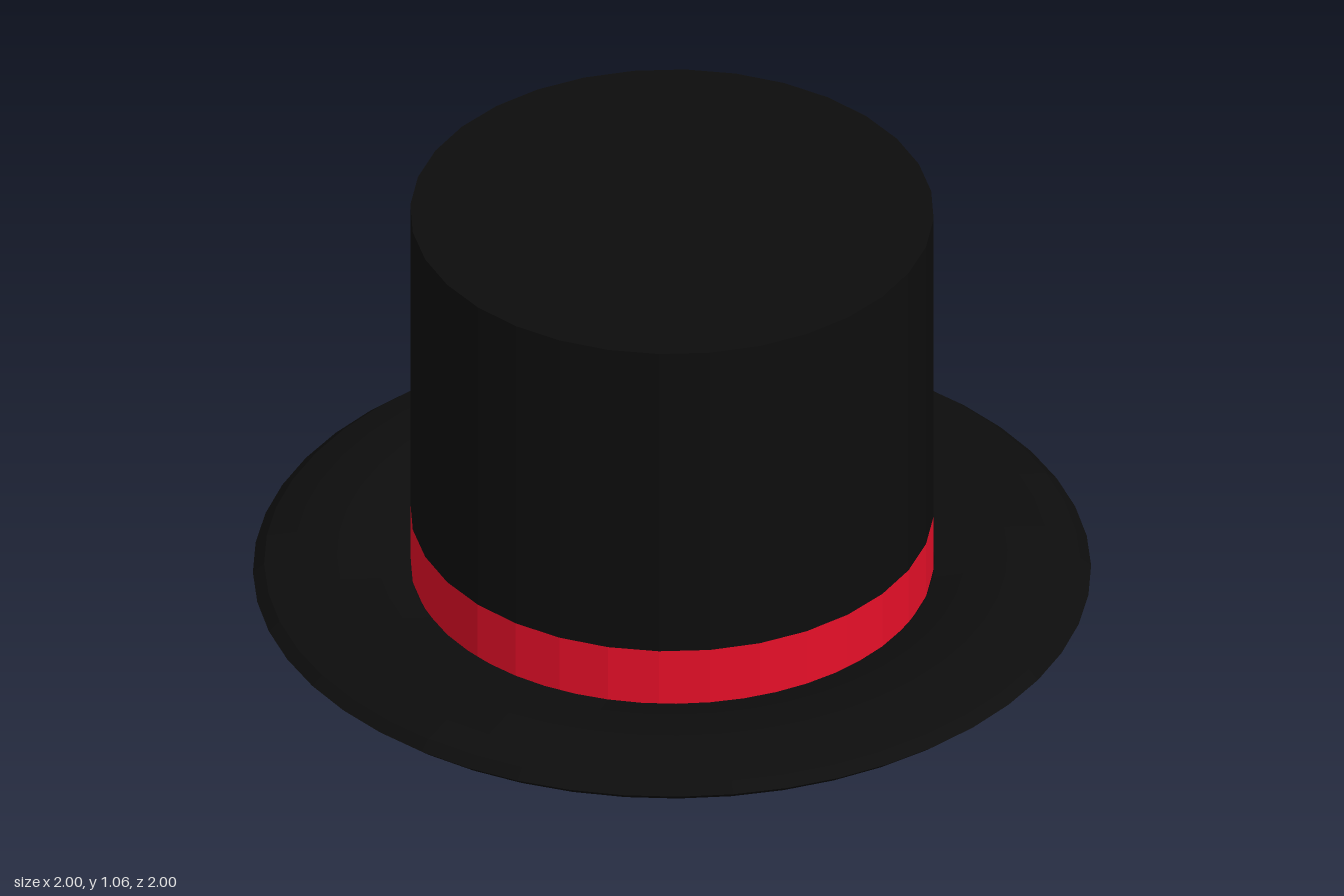
import * as THREE from 'three';

const SIDES = 32;
const CROWN_R = 0.625;
const BAND_BOTTOM = 0.05, BAND_TOP = 0.215, CROWN_TOP = 1.06;

const material = (color) => new THREE.MeshStandardMaterial({ color, flatShading: true, side: THREE.DoubleSide });

export function createModel() {
  const hat = new THREE.Group();
  hat.name = 'topHat';
  const black = material(0x0d0d0d);
  const red = material(0xe60f28);

  const add = (name, geometry, mat, y = 0) => {
    const mesh = new THREE.Mesh(geometry, mat);
    mesh.name = name;
    mesh.position.y = y;
    hat.add(mesh);
  };

  // Thin open wall shared by the crown and the band
  const wall = (name, y0, y1, mat) =>
    add(name, new THREE.CylinderGeometry(CROWN_R, CROWN_R, y1 - y0, SIDES, 1, true), mat, (y0 + y1) / 2);

  // Brim: a ring squashed to an elliptical section
  const brim = new THREE.TorusGeometry(0.8, 0.2, 12, 48);
  brim.rotateX(-Math.PI / 2);
  brim.scale(1, 0.225, 1);
  add('brim', brim, black, 0.045);

  // Coloured band, visible inside and out
  wall('hatBand', BAND_BOTTOM, BAND_TOP, red);

  // Hollow crown closed by a flat top
  wall('crown', BAND_TOP, CROWN_TOP, black);
  const top = new THREE.CircleGeometry(CROWN_R, SIDES);
  top.rotateX(-Math.PI / 2);
  add('crownTop', top, black, CROWN_TOP);

  return hat;
}
